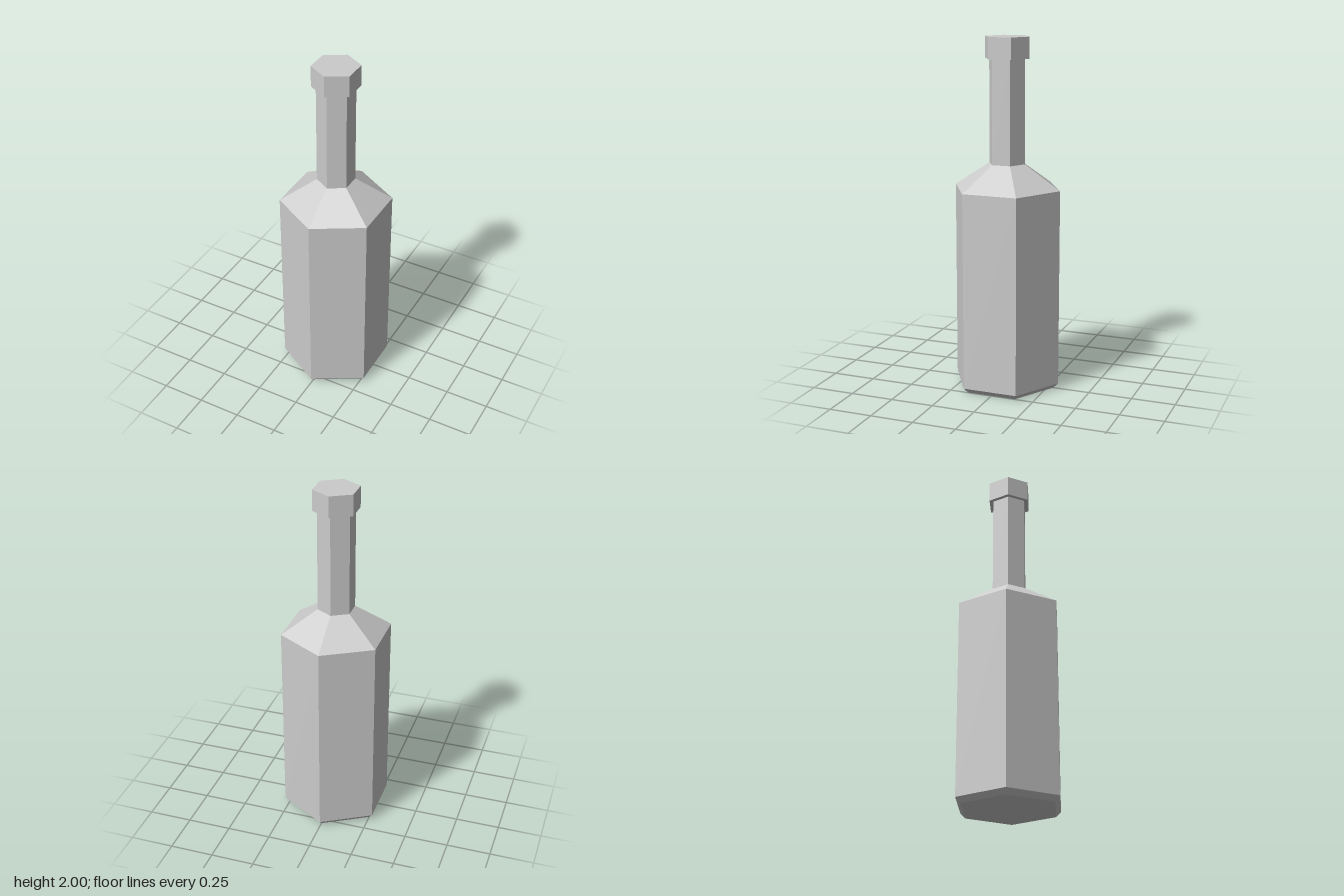
import * as THREE from 'three';

const SIDES = 6;

export function createModel() {
  const bottle = new THREE.Group();
  bottle.name = 'bottle';
  const material = new THREE.MeshStandardMaterial({ color: 0xcccccc, flatShading: true });

  // One hexagonal section between two heights, with corners on the z axis
  function section(name, y0, y1, r0, r1, { bottomCap = false, topCap = false } = {}) {
    const part = new THREE.Group();
    part.name = name;
    const wall = new THREE.Mesh(new THREE.CylinderGeometry(r1, r0, y1 - y0, SIDES, 1, true), material);
    wall.name = name + 'Wall';
    wall.position.y = (y0 + y1) / 2;
    part.add(wall);
    if (bottomCap) part.add(cap(name + 'Underside', y0, r0, Math.PI / 2));
    if (topCap) part.add(cap(name + 'Top', y1, r1, -Math.PI / 2));
    bottle.add(part);
  }

  // Flat hexagon closing a section
  function cap(name, y, radius, tilt) {
    const mesh = new THREE.Mesh(new THREE.CircleGeometry(radius, SIDES, Math.PI / 2), material);
    mesh.name = name;
    mesh.rotation.x = tilt;
    mesh.position.y = y;
    return mesh;
  }

  section('base', 0, 0.03, 0.285, 0.315, { bottomCap: true });
  section('body', 0.03, 1.157, 0.315, 0.315);
  section('shoulder', 1.157, 1.295, 0.315, 0.106);
  section('neck', 1.295, 1.88, 0.106, 0.106);
  section('lip', 1.88, 2, 0.131, 0.131, { bottomCap: true, topCap: true });

  return bottle;
}
